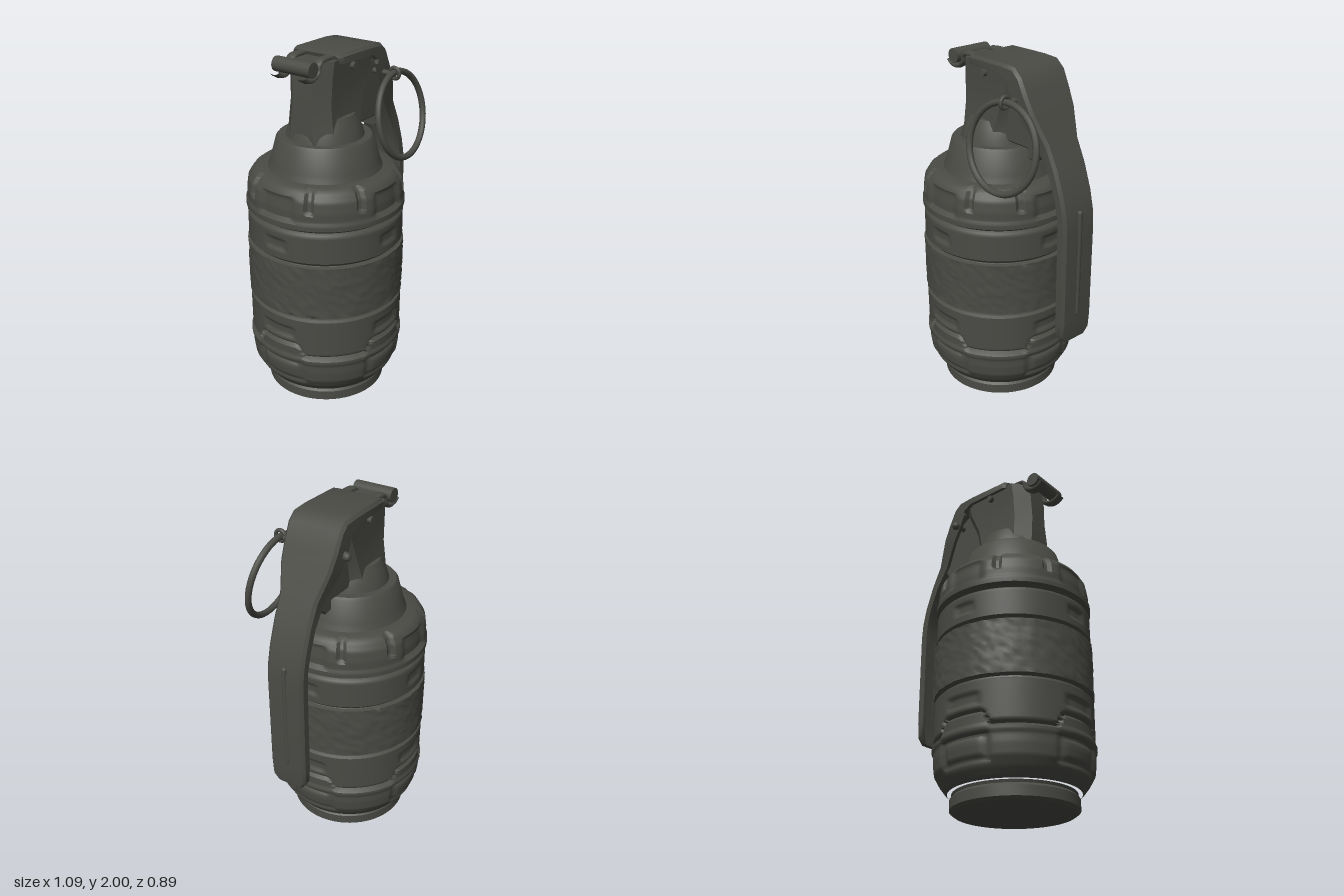
import * as THREE from 'three';
import { toCreasedNormals } from 'three/addons/utils/BufferGeometryUtils.js';

const V = (x, y, z) => new THREE.Vector3(x, y, z);
const AXIS_X = -0.1; // the canister stands a little off centre

// Skin a chain of 2D sections; each frame has origin o, axes u, v (u x v = travel) and pts
function loft(frames, crease = 0.6) {
  const n = frames[0].pts.length, pos = [], idx = [];
  for (const f of frames) for (const [a, b] of f.pts) {
    const p = f.o.clone().addScaledVector(f.u, a).addScaledVector(f.v, b);
    pos.push(p.x, p.y, p.z);
  }
  for (let i = 0; i < frames.length - 1; i++) for (let j = 0; j < n; j++) {
    const a = i * n + j, b = i * n + (j + 1) % n;
    idx.push(a, b, b + n, a, b + n, a + n);
  }
  const cap = f => THREE.ShapeUtils.triangulateShape(f.pts.map(p => new THREE.Vector2(...p)), []);
  const last = (frames.length - 1) * n;
  for (const [a, b, c] of cap(frames[0])) idx.push(c, b, a);
  for (const [a, b, c] of cap(frames[frames.length - 1])) idx.push(last + a, last + b, last + c);
  const g = new THREE.BufferGeometry();
  g.setAttribute('position', new THREE.Float32BufferAttribute(pos, 3));
  g.setIndex(idx);
  return toCreasedNormals(g, crease);
}

// Linear lookup in a [y, radius] table
function lookup(table, y) {
  for (let i = 1; i < table.length; i++) {
    const [y0, r0] = table[i - 1], [y1, r1] = table[i];
    if (y <= y1) return r0 + (r1 - r0) * (y - y0) / (y1 - y0);
  }
  return table[table.length - 1][1];
}

// 1 inside half-width, fading to 0 over the soft edge
const pad = (d, half, soft) => 1 - THREE.MathUtils.smoothstep(Math.abs(d), half, half + soft);
const groove = (y, at) => Math.max(0, 1 - Math.abs(y - at) / 0.016) * 0.026;

const SHELL = [[0.09, 0.34], [0.105, 0.365], [0.15, 0.4], [0.2, 0.428], [0.26, 0.436], [0.6, 0.438],
  [0.95, 0.436], [1.24, 0.434], [1.3, 0.425], [1.34, 0.4], [1.36, 0.372]];

// Shell radius: grooves, raised lips and moulded pads repeated on four sides
function shellRadius(y, angle) {
  const q = Math.PI / 2;
  const s = (angle - Math.round(angle / q) * q) * 0.44;
  let r = lookup(SHELL, y);
  r -= groove(y, 0.36 + 0.07 * pad(s, 0.12, 0.06));
  for (const at of [0.61, 0.94, 1.13]) r -= groove(y, at);
  r += 0.008 * pad(y - 0.335, 0.015, 0.012) + 0.008 * pad(y - 1.165, 0.015, 0.012);
  r -= 0.016 * pad(y - 0.25, 0.06, 0.025) * pad(s, 0.15, 0.025);
  r += 0.012 * pad(y - 0.25, 0.035, 0.02) * pad(s, 0.11, 0.03);
  r -= 0.014 * pad(y - 0.505, 0.02, 0.02) * pad(s, 0.09, 0.03);
  r -= 0.014 * pad(y - 1.035, 0.02, 0.02) * pad(s, 0.05, 0.025);
  r -= 0.018 * pad(y - 1.25, 0.05, 0.02) * pad(s, 0.1, 0.025);
  r -= 0.02 * pad(y - 1.31, 0.06, 0.02) * pad(Math.abs(s) - 0.2, 0.012, 0.015);
  return r;
}

export function createModel() {
  const model = new THREE.Group();
  const olive = new THREE.MeshStandardMaterial({ color: 0x4a4b45 });
  olive.name = 'dark olive';
  const add = (name, geo, x = 0, y = 0, z = 0) => {
    const m = new THREE.Mesh(geo, olive);
    m.name = name;
    m.position.set(x, y, z);
    model.add(m);
    return m;
  };
  const lathe = (pts, seg = 64) =>
    toCreasedNormals(new THREE.LatheGeometry(pts.map(p => new THREE.Vector2(...p)), seg), 0.6);

  // Base foot
  add('baseFoot', lathe([[0, 0], [0.325, 0], [0.345, 0.015], [0.345, 0.07], [0.33, 0.085],
    [0.335, 0.1], [0.3, 0.11]]), AXIS_X);

  // Moulded shell
  const rows = [];
  for (let i = 0; i <= 125; i++) rows.push(new THREE.Vector2(0.4, 0.1 + i * 1.26 / 125));
  rows.push(new THREE.Vector2(0.28, 1.36));
  const shell = new THREE.LatheGeometry(rows, 144);
  const sp = shell.attributes.position;
  for (let i = 0; i < sp.count; i++) {
    const x = sp.getX(i), z = sp.getZ(i), a = Math.atan2(x, z);
    if (Math.hypot(x, z) < 0.35) continue;
    const r = shellRadius(sp.getY(i), a);
    sp.setX(i, Math.sin(a) * r);
    sp.setZ(i, Math.cos(a) * r);
  }
  add('shell', toCreasedNormals(shell, 0.7), AXIS_X);

  // Rough grip band
  let seed = 7;
  const rand = () => (seed = (seed * 16807) % 2147483647) / 2147483647;
  const bandRows = [[0.42, 0.62]];
  for (let i = 0; i <= 16; i++) bandRows.push([0.441, 0.625 + i * 0.305 / 16]);
  bandRows.push([0.42, 0.935]);
  const band = new THREE.LatheGeometry(bandRows.map(p => new THREE.Vector2(...p)), 120);
  const bp = band.attributes.position, n = bandRows.length;
  for (let i = 0; i < bp.count; i++) {
    const k = 1 + (rand() - 0.5) * 0.018;
    const src = i >= 120 * n ? i - 120 * n : i; // the seam copies the first column
    const copy = src !== i;
    bp.setX(i, copy ? bp.getX(src) : bp.getX(i) * k);
    bp.setZ(i, copy ? bp.getZ(src) : bp.getZ(i) * k);
  }
  add('gripBand', toCreasedNormals(band, 1), AXIS_X);

  // Stepped collar and neck
  add('collar', lathe([[0.32, 1.35], [0.31, 1.375], [0.3, 1.4], [0.268, 1.52], [0.255, 1.535], [0.2, 1.535]]), AXIS_X);
  add('neck', lathe([[0.215, 1.53], [0.205, 1.57], [0.185, 1.62], [0.165, 1.66], [0.1, 1.67]]), AXIS_X);

  // Fuze column: chamfered sections flaring upward [y, xMin, xMax, halfDepth]
  const column = [[1.53, -0.3, 0.09, 0.16], [1.6, -0.3, 0.09, 0.15], [1.74, -0.295, 0.13, 0.135],
    [1.88, -0.29, 0.19, 0.14], [1.97, -0.28, 0.2, 0.145]];
  add('fuzeColumn', loft(column.map(([y, a, b, d]) => {
    const c = 0.075;
    return { o: V(0, y, 0), u: V(0, 0, 1), v: V(1, 0, 0),
      pts: [[-d + c, a], [d - c, a], [d, a + c], [d, b - c], [d - c, b], [c - d, b], [-d, b - c], [-d, a + c]] };
  })));

  // Wedge under the lever with its hooked stop
  const wedge = new THREE.Shape([[0, 1.57], [0.24, 1.57], [0.245, 1.515], [0.28, 1.51], [0.335, 1.55],
    [0.36, 1.62], [0.27, 1.84], [0.1, 1.94], [0, 1.9]].map(p => new THREE.Vector2(...p)));
  const wedgeGeo = new THREE.ExtrudeGeometry(wedge, { depth: 0.18, bevelSize: 0.01, bevelThickness: 0.01, bevelSegments: 1 });
  add('fuzeWedge', wedgeGeo, 0, 0, -0.09);

  // Safety lever: channel section swept from the cap down the side [x, y, halfWidth, flangeDepth]
  const path = [[-0.18, 1.99, 0.15, 0.04], [-0.15, 2, 0.162, 0.05], [0.1, 2, 0.165, 0.055], [0.19, 1.993, 0.165, 0.09],
    [0.24, 1.95, 0.165, 0.11], [0.285, 1.86, 0.163, 0.11], [0.33, 1.77, 0.155, 0.1], [0.4, 1.62, 0.117, 0.075],
    [0.46, 1.5, 0.115, 0.06], [0.51, 1.36, 0.115, 0.055], [0.533, 1.26, 0.115, 0.055], [0.541, 1.16, 0.115, 0.055],
    [0.541, 0.62, 0.115, 0.055], [0.536, 0.53, 0.113, 0.045], [0.53, 0.49, 0.085, 0.03]];
  add('safetyLever', loft(path.map(([x, y, w, d], i) => {
    const p = path[Math.max(0, i - 1)], q = path[Math.min(path.length - 1, i + 1)];
    const t = V(q[0] - p[0], q[1] - p[1], 0).normalize();
    const h = 0.022, c = 0.016;
    return { o: V(x, y, 0), u: V(0, 0, -1), v: V(-t.y, t.x, 0),
      pts: [[-w, -d], [h - w, -d], [h - w, -h], [w - h, -h], [w - h, -d], [w, -d],
        [w, -c], [w - c, 0], [c - w, 0], [-w, -c]] };
  }), 0.7));
  add('leverRib', new THREE.CapsuleGeometry(0.016, 0.6, 4, 10), 0.533, 0.96, 0);

  // Hinge: cross bar, hooked fingers and arms
  const alongZ = (r, len, seg = 20) => new THREE.CylinderGeometry(r, r, len, seg).rotateX(Math.PI / 2);
  add('hingeBar', alongZ(0.04, 0.24), -0.345, 1.95, 0);
  const finger = new THREE.CatmullRomCurve3([V(-0.4, 1.92, 0), V(-0.375, 1.9, 0), V(-0.33, 1.895, 0),
    V(-0.285, 1.92, 0), V(-0.265, 1.97, 0), V(-0.17, 1.98, 0)]);
  for (const side of [-1, 1]) {
    const g = new THREE.TubeGeometry(finger, 24, 0.014, 8).scale(1, 1, 2.2);
    add('hingeFinger', g, 0, 0, side * 0.088);
    add('sideStud', alongZ(0.02, 0.04, 12), -0.05, 1.92, side * 0.145);
  }

  // Pull pin with its eye and ring
  add('pullPin', alongZ(0.016, 0.42, 12), 0.21, 1.83, 0.03);
  add('pinTip', new THREE.SphereGeometry(0.024, 12, 8), 0.21, 1.82, -0.175);
  const eye = add('pinEye', new THREE.TorusGeometry(0.03, 0.011, 8, 20), 0.21, 1.835, 0.235);
  eye.rotation.y = Math.PI / 2;
  const ring = add('pullRing', new THREE.TorusGeometry(0.236, 0.018, 10, 56), 0.23, 1.605, 0.275);
  ring.rotation.set(-0.2, 0.06, 0);

  return model;
}
